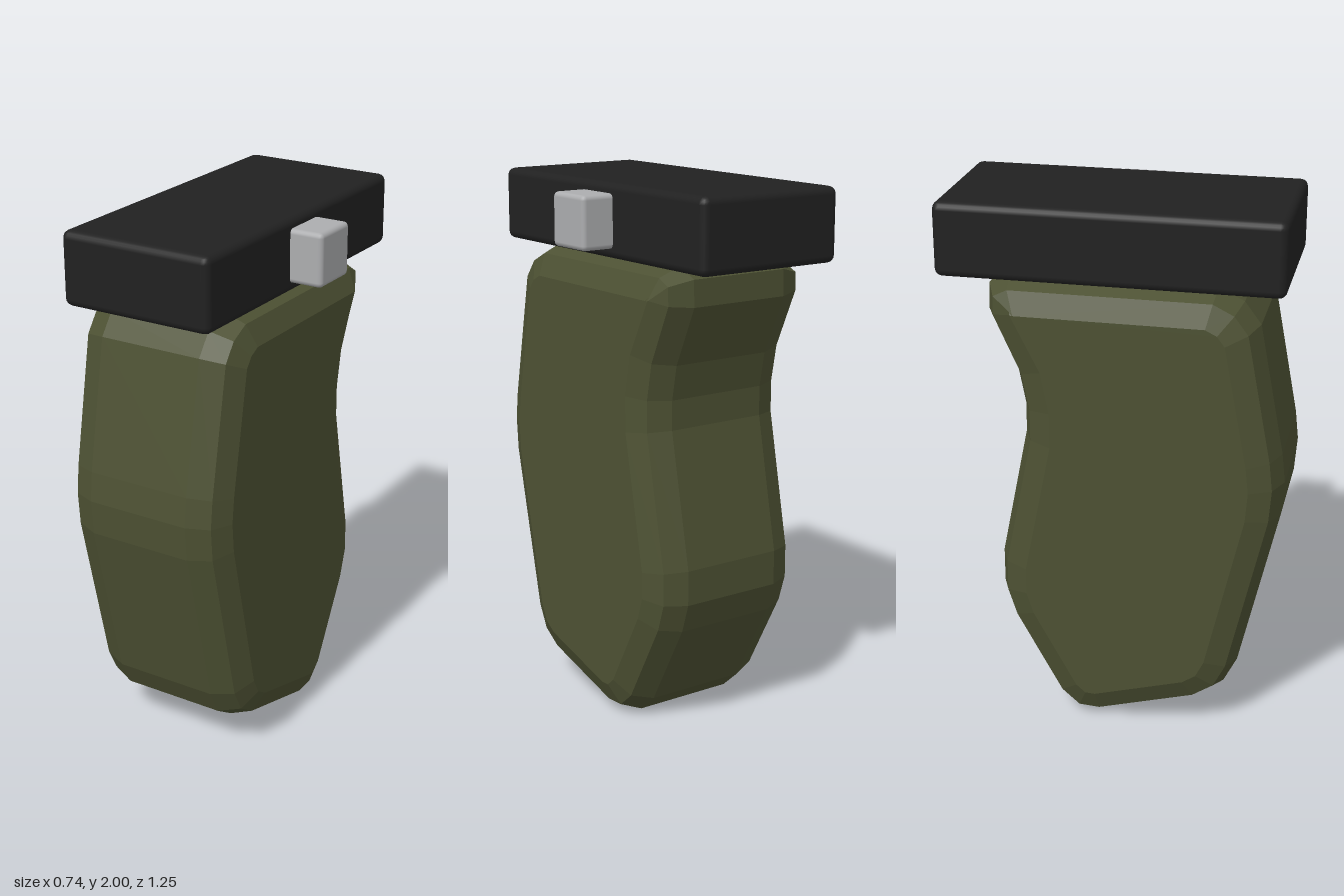
import * as THREE from 'three';
import { RoundedBoxGeometry } from 'three/addons/geometries/RoundedBoxGeometry.js';

// Side outline of the grip as [z, y], from the top front corner down the front and up the back
const OUTLINE = [
  [0.37, 1.735], [0.46, 1.69], [0.52, 1.61], [0.61, 1.13], [0.622, 1.02], [0.612, 0.89],
  [0.47, 0.27], [0.42, 0.17], [0.33, 0.11], [-0.04, 0.005], [-0.135, 0.01], [-0.215, 0.08],
  [-0.39, 0.4], [-0.425, 0.51], [-0.425, 0.64], [-0.325, 1.14], [-0.325, 1.25], [-0.35, 1.38],
  [-0.45, 1.6], [-0.447, 1.697], [-0.37, 1.735],
];

// Moves every edge of a counter-clockwise outline inward by d
function inset(points, d) {
  const n = points.length;
  const normal = (a, b) => new THREE.Vector2(a.y - b.y, b.x - a.x).normalize();
  return points.map((p, i) => {
    const n1 = normal(points[(i + n - 1) % n], p);
    const n2 = normal(p, points[(i + 1) % n]);
    return p.clone().addScaledVector(n1.clone().add(n2), d / (1 + n1.dot(n2)));
  });
}

// Grip: outline swept across x, with bevelled flanks
function gripGeometry() {
  const outline = OUTLINE.map(([z, y]) => new THREE.Vector2(-z, y));
  const sections = [[-0.322, 0.115], [-0.285, 0.035], [-0.2, 0], [0.2, 0], [0.285, 0.035], [0.322, 0.115]];
  const rings = sections.map(([x, d]) => inset(outline, d).map((p) => [x, p.y, -p.x]));
  const n = outline.length;
  const pos = [];
  const tri = (a, b, c) => pos.push(...a, ...b, ...c);
  for (let r = 0; r < rings.length - 1; r++) {
    const a = rings[r], b = rings[r + 1];
    for (let i = 0; i < n; i++) {
      const j = (i + 1) % n;
      tri(a[i], a[j], b[j]);
      tri(a[i], b[j], b[i]);
    }
  }
  // Flat side faces
  const first = rings[0], last = rings[rings.length - 1];
  const flat = last.map((p) => new THREE.Vector2(-p[2], p[1]));
  for (const [a, b, c] of THREE.ShapeUtils.triangulateShape(flat, [])) {
    tri(last[a], last[b], last[c]);
    tri(first[a], first[c], first[b]);
  }
  const geo = new THREE.BufferGeometry();
  geo.setAttribute('position', new THREE.Float32BufferAttribute(pos, 3));
  geo.computeVertexNormals();
  return geo;
}

export function createModel() {
  const material = (name, color) => {
    const m = new THREE.MeshStandardMaterial({ color });
    m.name = name;
    return m;
  };
  const olive = material('olive', 0x4d5133);
  const black = material('black', 0x212121);
  const grey = material('light grey', 0xacadaf);

  const model = new THREE.Group();
  model.name = 'foregrip';
  const add = (name, geo, mat, x, y, z) => {
    const mesh = new THREE.Mesh(geo, mat);
    mesh.name = name;
    mesh.position.set(x, y, z);
    model.add(mesh);
  };

  add('grip', gripGeometry(), olive, -0.052, 0, 0);
  // Mounting block on top
  add('mountBlock', new RoundedBoxGeometry(0.59, 0.268, 1.235, 2, 0.028), black, -0.05, 1.866, -0.006);
  // Clamp button on the left side
  add('clampButton', new RoundedBoxGeometry(0.195, 0.195, 0.195, 2, 0.018), grey, 0.273, 1.867, -0.006);
  return model;
}
